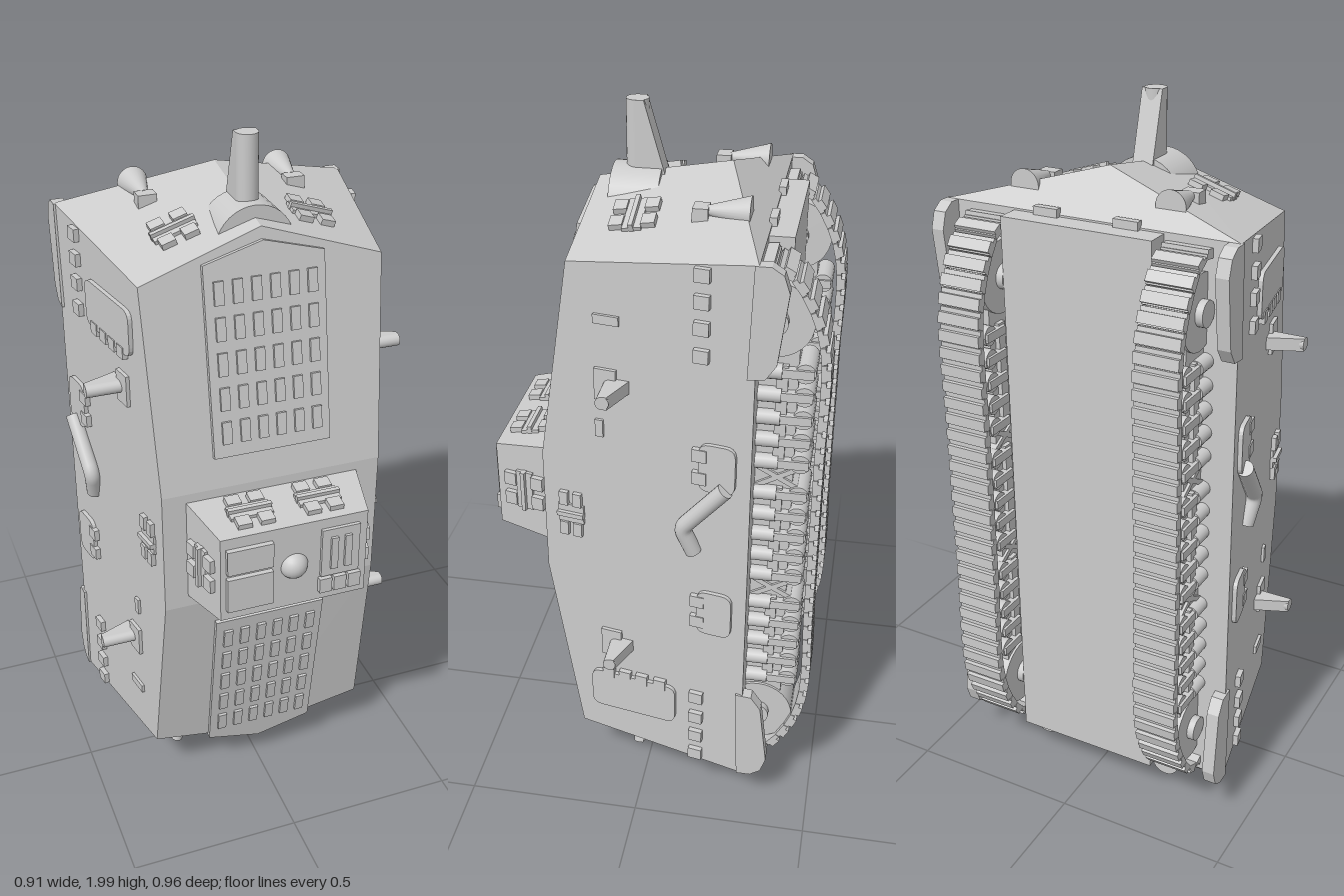
import * as THREE from 'three';
import { ConvexGeometry } from 'three/addons/geometries/ConvexGeometry.js';

const mat = new THREE.MeshStandardMaterial({ color: 0xcccccc });
const V = (x, y, z) => new THREE.Vector3(x, y, z);
const MID = 0.935; // half-way along the hull

function add(parent, name, geo, x = 0, y = 0, z = 0) {
  const m = new THREE.Mesh(geo, mat);
  m.name = name;
  m.position.set(x, y, z);
  parent.add(m);
  return m;
}
const box = (w, h, d) => new THREE.BoxGeometry(w, h, d);
const convex = pts => new ConvexGeometry(pts);

// Stand an object on a surface: its local z follows the normal, local y follows up
function place(parent, obj, pos, normal, up) {
  const n = normal.clone().normalize();
  const x = up.clone().cross(n).normalize();
  obj.quaternion.setFromRotationMatrix(new THREE.Matrix4().makeBasis(x, n.clone().cross(x), n));
  obj.position.copy(pos);
  parent.add(obj);
  return obj;
}
function group(name) {
  const g = new THREE.Group();
  g.name = name;
  return g;
}
function plate(w, h, d, r) {
  const s = new THREE.Shape(), a = w / 2, b = h / 2;
  s.moveTo(-a + r, -b).lineTo(a - r, -b).quadraticCurveTo(a, -b, a, -b + r);
  s.lineTo(a, b - r).quadraticCurveTo(a, b, a - r, b).lineTo(-a + r, b);
  s.quadraticCurveTo(-a, b, -a, b - r).lineTo(-a, -b + r).quadraticCurveTo(-a, -b, -a + r, -b);
  return new THREE.ExtrudeGeometry(s, { depth: d, bevelEnabled: false, curveSegments: 5 });
}

// Vision hatch: a bar with two pairs of hinge pads
function hatch() {
  const g = group('visionHatch');
  add(g, 'hatchFlap', box(0.12, 0.05, 0.014));
  add(g, 'hatchBar', box(0.124, 0.012, 0.036));
  for (const x of [-0.032, 0.032]) for (const y of [-0.042, 0.042])
    add(g, 'hingePad', box(0.04, 0.036, 0.026), x, y);
  return g;
}

// Gun along local z: round barrel with a tapering jacket below it
function gun(r, len, depth) {
  const g = group('gun');
  add(g, 'barrel', new THREE.CylinderGeometry(r, r, len, 24), 0, 0, len / 2).rotation.x = Math.PI / 2;
  const pts = [];
  for (const x of [-r, r]) pts.push(V(x, 0, 0), V(x, 0, len), V(x, r - depth, 0), V(x, -r * 0.7, len));
  add(g, 'jacket', convex(pts));
  return g;
}

// Roof louvre, pointed toward the hull end
function grille() {
  const g = group('louvre');
  const s = new THREE.Shape();
  s.moveTo(-0.165, 0).lineTo(0.165, 0).lineTo(0.165, 0.52).lineTo(0, 0.565).lineTo(-0.165, 0.52);
  add(g, 'louvrePanel', new THREE.ExtrudeGeometry(s, { depth: 0.02, bevelEnabled: false }), 0, 0, -0.006);
  for (let i = 0; i < 6; i++) for (let j = 0; j < 5; j++)
    add(g, 'louvreSlat', box(0.026, 0.062, 0.02), (i - 2.5) * 0.051, 0.07 + j * 0.094, 0.012);
  return g;
}

// One flank, built on the +x side
function flank() {
  const g = group('flank');
  const N = V(1, 0, 0.181), UP = V(0, 1, 0);
  const on = (obj, y, z) => place(g, obj, V(0.366 - 0.181 * z, y, z), N, UP);
  const part = (name, geo, y, z) => on(add(g, name, geo), y, z);

  for (const y of [0.17, 0.24, 0.31, 0.385, 1.485, 1.56, 1.63, 1.7]) part('skirtHinge', box(0.04, 0.036, 0.03), y, -0.165);
  for (const y of [0.7, 1.168]) {
    part('sideFlap', plate(0.1, 0.14, 0.012, 0.03), y, -0.212);
    for (const d of [-0.034, 0.034]) part('flapHinge', box(0.04, 0.036, 0.03), y + d, -0.165);
  }
  part('doorPanel', plate(0.26, 0.13, 0.012, 0.03), 0.335, 0.025);
  for (const z of [0.1, 0.05, 0, -0.055]) part('doorHinge', box(0.036, 0.034, 0.03), 0.4, z);
  part('sideSlot', box(0.07, 0.025, 0.016), 1.54, 0.085);
  part('sideSlot', box(0.022, 0.05, 0.016), 1.225, 0.11);
  const h = on(hatch(), MID, 0.2);
  h.scale.set(0.62, 1.15, 1);

  for (const y of [0.513, 1.357]) {
    part('gunPlate', box(0.06, 0.09, 0.02), y, 0.09);
    place(g, gun(0.018, 0.11, 0.075), V(0.345, y, 0.078), V(1, 0, 0), V(0, 0, 1));
  }
  // Corner skirts over the track ends
  for (const s of [1, -1]) {
    const pts = [];
    for (const x of [0.388, 0.424])
      for (const [y, z] of [[0.505, -0.28], [0.51, -0.325], [0.55, -0.352], [0.74, -0.375], [0.785, -0.36], [0.805, -0.33], [0.805, -0.29]])
        pts.push(V(x, MID + s * y, z));
    add(g, 'cornerSkirt', convex(pts));
  }
  return g;
}

function track(side) {
  const g = group('track');
  const x = side * 0.285;
  const path = new THREE.CatmullRomCurve3([
    [0.38, -0.458], [0.7, -0.46], [MID, -0.46], [1.17, -0.46], [1.49, -0.458], [1.61, -0.42], [1.69, -0.36], [1.7, -0.3], [1.62, -0.25],
    [MID, -0.25], [0.25, -0.25], [0.17, -0.3], [0.18, -0.36], [0.26, -0.42],
  ].map(([y, z]) => V(0, y, z)), true);
  path.arcLengthDivisions = 800;
  const n = 68;
  for (let i = 0; i < n; i++) {
    const p = path.getPointAt(i / n), t = path.getTangentAt(i / n);
    const link = group('trackLink');
    add(link, 'shoe', box(0.125, 0.046, 0.014));
    add(link, 'grouser', box(0.125, 0.03, 0.014), 0, -0.004, 0.011);
    place(g, link, p.setX(x), t.clone().cross(V(1, 0, 0)), t);
  }
  // Frame, end wheels and sprung rollers
  add(g, 'trackFrame', box(0.085, 1.2, 0.12), x, MID, -0.34);
  for (const y of [0.305, 1.565]) {
    add(g, 'endWheel', new THREE.CylinderGeometry(0.1, 0.1, 0.1, 32), x, y, -0.335).rotation.z = Math.PI / 2;
    add(g, 'wheelHub', new THREE.CylinderGeometry(0.035, 0.035, 0.14, 20), x, y, -0.335).rotation.z = Math.PI / 2;
  }
  for (const c of [-0.36, 0, 0.36]) {
    add(g, 'bogieBeam', box(0.11, 0.3, 0.03), x, MID + c, -0.36);
    for (let k = -2; k <= 2; k++) {
      const y = MID + c + k * 0.066;
      add(g, 'spring', new THREE.CylinderGeometry(0.021, 0.021, 0.07, 16), x + side * 0.05, y, -0.325).rotation.x = Math.PI / 2;
      add(g, 'rollerBracket', box(0.13, 0.024, 0.085), x, y, -0.398);
      add(g, 'roller', new THREE.CylinderGeometry(0.027, 0.027, 0.115, 16), x, y, -0.418).rotation.z = Math.PI / 2;
    }
  }
  for (const c of [-0.18, 0.18]) for (const a of [-0.5, 0.5])
    add(g, 'frameBrace', box(0.1, 0.014, 0.13), x, MID + c, -0.36).rotation.x = a;
  return g;
}

function cupola() {
  const g = group('cupola');
  const pts = [];
  for (const s of [-1, 1]) pts.push(V(s * 0.25, 0.775, 0.27), V(s * 0.25, 1.085, 0.27), V(s * 0.21, 0.8, 0.445), V(s * 0.21, 1.06, 0.445));
  add(g, 'cupolaBody', convex(pts));
  add(g, 'dome', new THREE.SphereGeometry(0.04, 24, 14), 0, 0.93, 0.436);
  add(g, 'roofHatch', box(0.13, 0.075, 0.024), -0.13, 0.99, 0.448);
  add(g, 'roofHatch', box(0.13, 0.105, 0.024), -0.13, 0.885, 0.448);
  add(g, 'ventPanel', box(0.11, 0.15, 0.018), 0.13, 0.955, 0.446);
  for (const x of [0.11, 0.15]) add(g, 'ventSlat', box(0.02, 0.1, 0.03), x, 0.955, 0.448);
  for (const x of [0.088, 0.13, 0.172]) add(g, 'ventHinge', box(0.036, 0.045, 0.026), x, 0.852, 0.448);
  for (const s of [-1, 1]) {
    for (const x of [-0.098, 0.098]) place(g, hatch(), V(x, 0.93 + s * 0.145, 0.36), V(0, s, 0.15), V(0, 0, 1));
    place(g, hatch(), V(s * 0.232, 0.93, 0.36), V(s, 0, 0.24), V(0, 0, 1));
  }
  return g;
}

export function createModel() {
  const root = group('armouredTrackedVehicle');

  // Faceted hull with a wedge at each end
  const pts = [V(0, 1.79, 0.173), V(0, 1.85, -0.18), V(0, 0.118, 0.185), V(0, 0.008, -0.18)];
  for (const s of [-1, 1]) pts.push(
    V(s * 0.315, 1.11, 0.28), V(s * 0.315, 0.74, 0.28), V(s * 0.331, 1.68, 0.19), V(s * 0.331, 0.18, 0.19),
    V(s * 0.42, 1.74, -0.3), V(s * 0.42, 0.13, -0.3));
  add(root, 'hull', convex(pts));
  add(root, 'belly', box(0.43, 1.6, 0.1), 0, MID, -0.315);
  for (const y of [0.13, 1.74]) for (const x of [-0.115, 0.115]) add(root, 'bellyHinge', box(0.07, 0.035, 0.02), x, y, -0.303);

  // Roof
  root.add(cupola());
  place(root, grille(), V(0, 1.2, 0.266), V(0, 0.158, 1), V(0, 1, 0));
  place(root, grille(), V(0, 0.655, 0.266), V(0, -0.158, 1), V(0, -1, 0));

  // Flanks: the second is the first turned end for end
  root.add(flank());
  const other = flank();
  other.rotation.z = Math.PI;
  other.position.y = 2 * MID;
  root.add(other);

  for (const s of [-1, 1]) {
    root.add(track(s));
    // Exhaust elbow
    const pipe = new THREE.CurvePath();
    const a = V(s * 0.424, 1.115, -0.235), b = V(s * 0.407, 0.975, -0.118), c = V(s * 0.396, 0.895, -0.15);
    const near = b.clone().lerp(a, 0.12), after = b.clone().lerp(c, 0.25);
    pipe.add(new THREE.LineCurve3(a, near));
    pipe.add(new THREE.QuadraticBezierCurve3(near, b, after));
    pipe.add(new THREE.LineCurve3(after, c));
    add(root, 'exhaustPipe', new THREE.TubeGeometry(pipe, 30, 0.023, 16));
    for (const [p, q] of [[a, b], [c, b]]) {
      const cap = new THREE.Mesh(new THREE.CircleGeometry(0.023, 16), mat);
      cap.name = 'pipeEnd';
      place(root, cap, p, p.clone().sub(q), V(1, 0, 0));
    }

    // Nose hatches and end lamps
    place(root, hatch(), V(s * 0.188, 1.756, 0.04), V(s * 0.32, 1, 0.169), V(0, 0, 1));
    for (const [y, t] of [[1.79, 1], [0.062, -1]]) {
      add(root, 'lamp', new THREE.CylinderGeometry(0.012, 0.042, 0.11, 28), s * 0.21, y, -0.2).rotation.x = Math.PI / 2;
      add(root, 'lampBracket', box(0.052, 0.045, 0.04), s * 0.21, y - t * 0.012, -0.13);
    }
    // Rear guns
    const rear = V(s * 0.25, -1, 0);
    const mount = add(root, 'rearGunMount', box(0.11, 0.09, 0.025));
    place(root, mount, V(s * 0.195, 0.122, 0.04), V(s * 0.25, -1, 0.28), V(0, 0, 1));
    place(root, gun(0.018, 0.12, 0.07), V(s * 0.195, 0.135, 0.04), rear, V(0, 0, 1));
  }

  // Main gun and its curved mantlet
  add(root, 'mantlet', new THREE.CylinderGeometry(0.108, 0.108, 0.13, 36), 0, 1.722, 0.067).rotation.x = Math.PI / 2;
  place(root, gun(0.03, 0.22, 0.115), V(0, 1.78, 0.07), V(0, 1, 0), V(0, 0, 1));
  return root;
}
